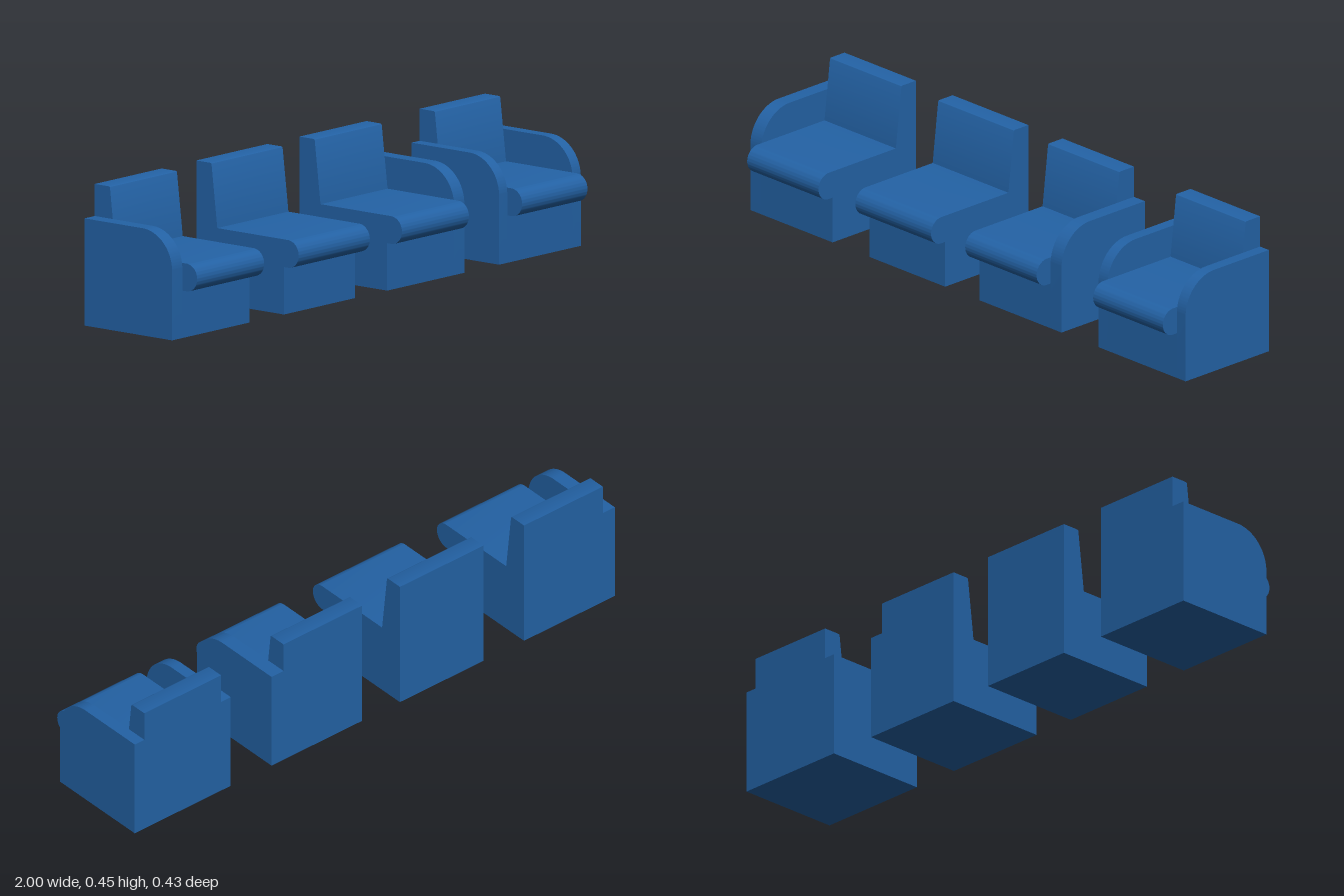
import * as THREE from 'three';
import { toCreasedNormals } from 'three/addons/utils/BufferGeometryUtils.js';

const FRONT = 0.153, BACK = -0.214;

// Side profile of base, rolled seat front and sloping backrest (shape x = model z)
function seatProfile() {
  const s = new THREE.Shape();
  s.moveTo(BACK, 0);
  s.lineTo(FRONT, 0);
  s.lineTo(FRONT, 0.154);
  s.lineTo(0.17, 0.154);
  s.absarc(0.17, 0.199, 0.045, -Math.PI / 2, Math.PI / 2, false);
  s.lineTo(-0.126, 0.244);
  s.lineTo(-0.15, 0.447);
  s.quadraticCurveTo(-0.151, 0.452, -0.156, 0.452);
  s.lineTo(BACK, 0.452);
  s.closePath();
  return s;
}

// Side profile of an armrest with a rounded upper front corner
function armProfile() {
  const s = new THREE.Shape();
  s.moveTo(BACK, 0);
  s.lineTo(FRONT, 0);
  s.lineTo(FRONT, 0.223);
  s.absarc(0.028, 0.223, 0.125, 0, Math.PI / 2, false);
  s.lineTo(BACK, 0.348);
  s.closePath();
  return s;
}

// Extrude a side profile across the span x0..x1
function slab(name, profile, x0, x1, material) {
  let geo = new THREE.ExtrudeGeometry(profile, { depth: x1 - x0, bevelEnabled: false, curveSegments: 20 });
  geo.rotateY(-Math.PI / 2);
  geo.translate(x1, 0, 0);
  geo = toCreasedNormals(geo, Math.PI / 6);
  const mesh = new THREE.Mesh(geo, material);
  mesh.name = name;
  return mesh;
}

export function createModel() {
  const model = new THREE.Group();
  model.name = 'modularSeats';
  const blue = new THREE.MeshStandardMaterial({ color: 0x2362a5 });
  blue.name = 'blueUpholstery';

  // Seat span and the width of the arm on each side (0 = no arm)
  const chairs = [
    { name: 'rightEndSeat', x0: -0.95, x1: -0.622, right: 0.05, left: 0 },
    { name: 'armlessSeat', x0: -0.453, x1: -0.105, right: 0, left: 0 },
    { name: 'leftEndSeat', x0: 0.052, x1: 0.38, right: 0, left: 0.05 },
    { name: 'armchair', x0: 0.64, x1: 0.96, right: 0.04, left: 0.04 },
  ];
  for (const c of chairs) {
    const chair = new THREE.Group();
    chair.name = c.name;
    chair.add(slab('seatAndBackrest', seatProfile(), c.x0, c.x1, blue));
    if (c.right) chair.add(slab('rightArm', armProfile(), c.x0 - c.right, c.x0, blue));
    if (c.left) chair.add(slab('leftArm', armProfile(), c.x1, c.x1 + c.left, blue));
    model.add(chair);
  }
  return model;
}
